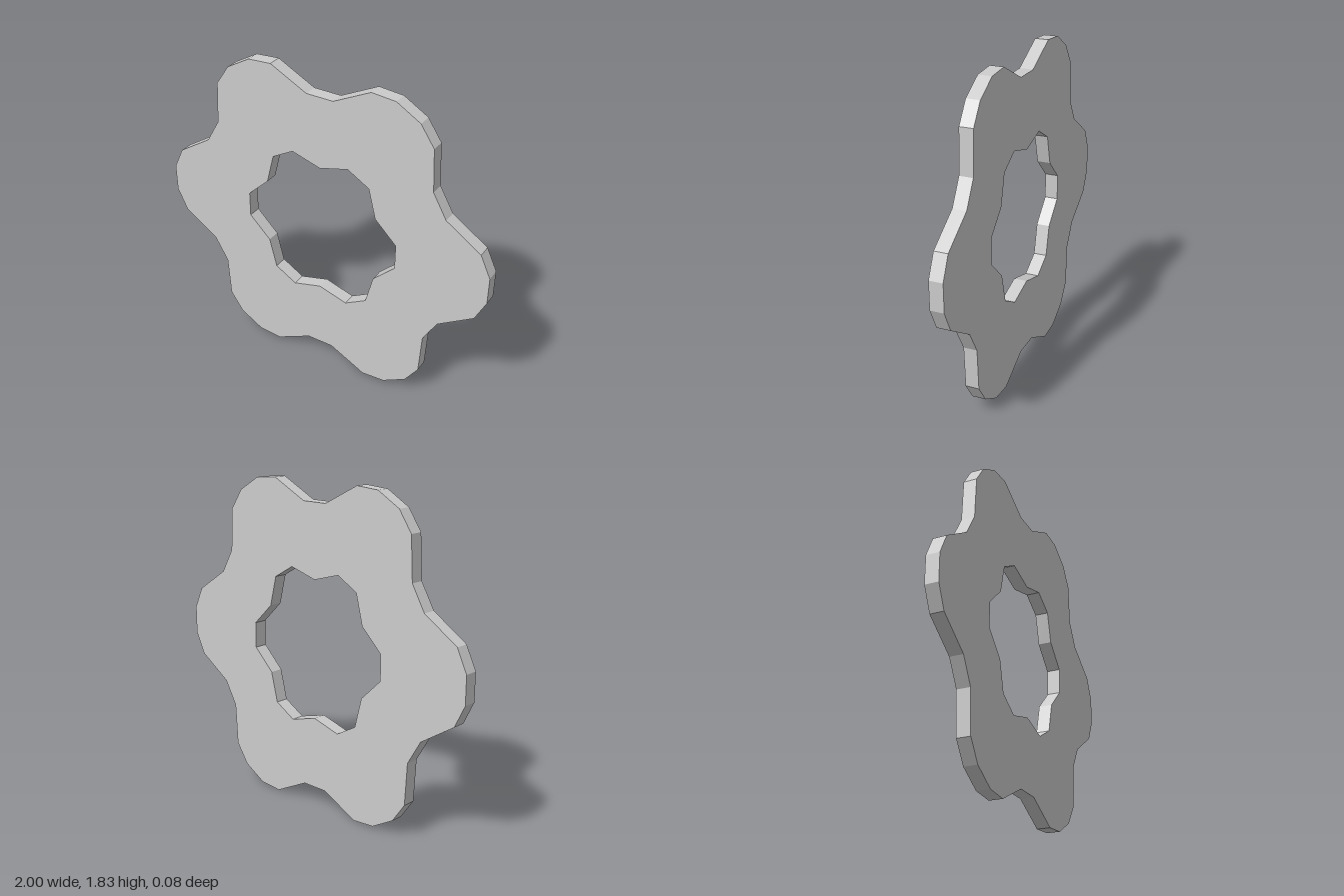
import * as THREE from 'three';

const LOBES = 6;
const DEPTH = 0.076;
const CENTRE_Y = 0.916;

// Repeats one lobe, given as [angle in degrees, radius] pairs, around the ring
function lobedOutline(lobe) {
  const points = [];
  for (let i = 0; i < LOBES; i++) {
    for (const [degrees, radius] of lobe) {
      const a = THREE.MathUtils.degToRad(degrees + (i * 360) / LOBES);
      points.push(new THREE.Vector2(Math.cos(a) * radius, Math.sin(a) * radius));
    }
  }
  return points;
}

export function createModel() {
  const group = new THREE.Group();
  group.name = 'lobedRing';

  // Outer edge: rounded lobe tips with a flat valley between them
  const shape = new THREE.Shape(lobedOutline([
    [-24.4, 0.811], [-12.2, 0.962], [-4.5, 1.003],
    [4.5, 1.003], [12.2, 0.962], [24.4, 0.811],
  ]));

  // Inner opening: blunt lobes with a single point between them
  shape.holes.push(new THREE.Path(lobedOutline([[-8.9, 0.473], [8.9, 0.473], [30, 0.393]])));

  const geometry = new THREE.ExtrudeGeometry(shape, { depth: DEPTH, bevelEnabled: false });
  geometry.translate(0, CENTRE_Y, -DEPTH / 2);

  const plate = new THREE.Mesh(
    geometry,
    new THREE.MeshStandardMaterial({ color: 0xcccccc, flatShading: true }),
  );
  plate.name = 'ringPlate';
  group.add(plate);
  return group;
}
